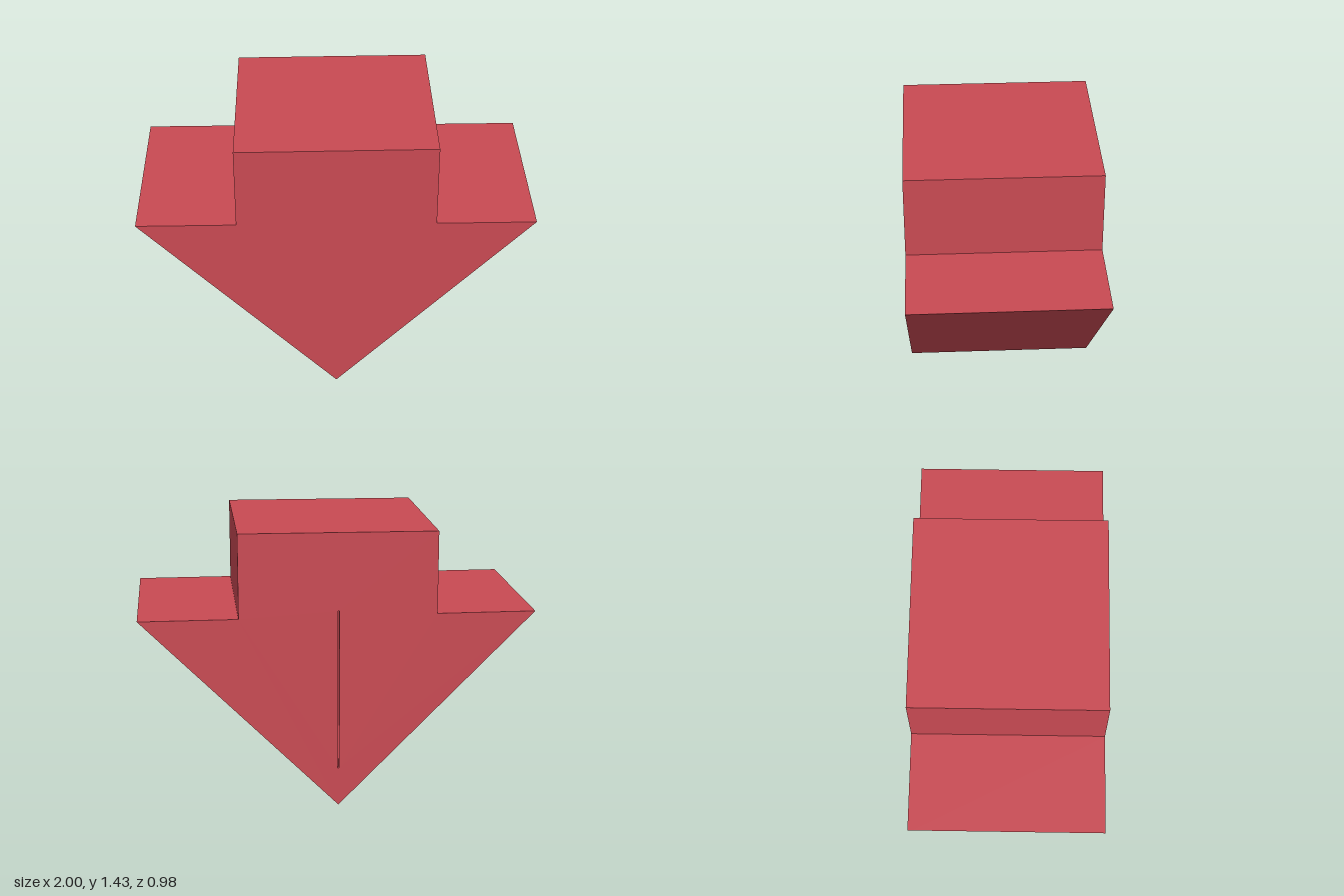
import * as THREE from 'three';

const HALF_DEPTH = 0.49;
const SLOT_DEPTH = 0.02;

// Downward arrow outline: point, wing, shaft, wing
function arrowShape() {
  return new THREE.Shape([
    [0, 0], [1, 1], [0.5, 1], [0.5, 1.43], [-0.5, 1.425], [-0.5, 1.005], [-1, 1.005],
  ].map(([x, y]) => new THREE.Vector2(x, y)));
}

// Narrow vertical slot in the back face
function slotPath() {
  const w = 0.004;
  return new THREE.Path([
    [-w, 0.2], [-w, 1.03], [w, 1.03], [w, 0.2],
  ].map(([x, y]) => new THREE.Vector2(x, y)));
}

export function createModel() {
  const group = new THREE.Group();
  group.name = 'arrowBlock';
  const red = new THREE.MeshStandardMaterial({ color: 0xc94a53 });
  red.name = 'red';

  function addLayer(name, shape, zBack, depth) {
    const geometry = new THREE.ExtrudeGeometry(shape, { depth, bevelEnabled: false });
    const mesh = new THREE.Mesh(geometry, red);
    mesh.name = name;
    mesh.position.z = zBack;
    group.add(mesh);
  }

  // Solid arrow body
  addLayer('arrowBody', arrowShape(), -HALF_DEPTH + SLOT_DEPTH, 2 * HALF_DEPTH - SLOT_DEPTH);

  // Back layer, cut by the slot
  const back = arrowShape();
  back.holes.push(slotPath());
  addLayer('slottedBack', back, -HALF_DEPTH, SLOT_DEPTH);

  return group;
}
